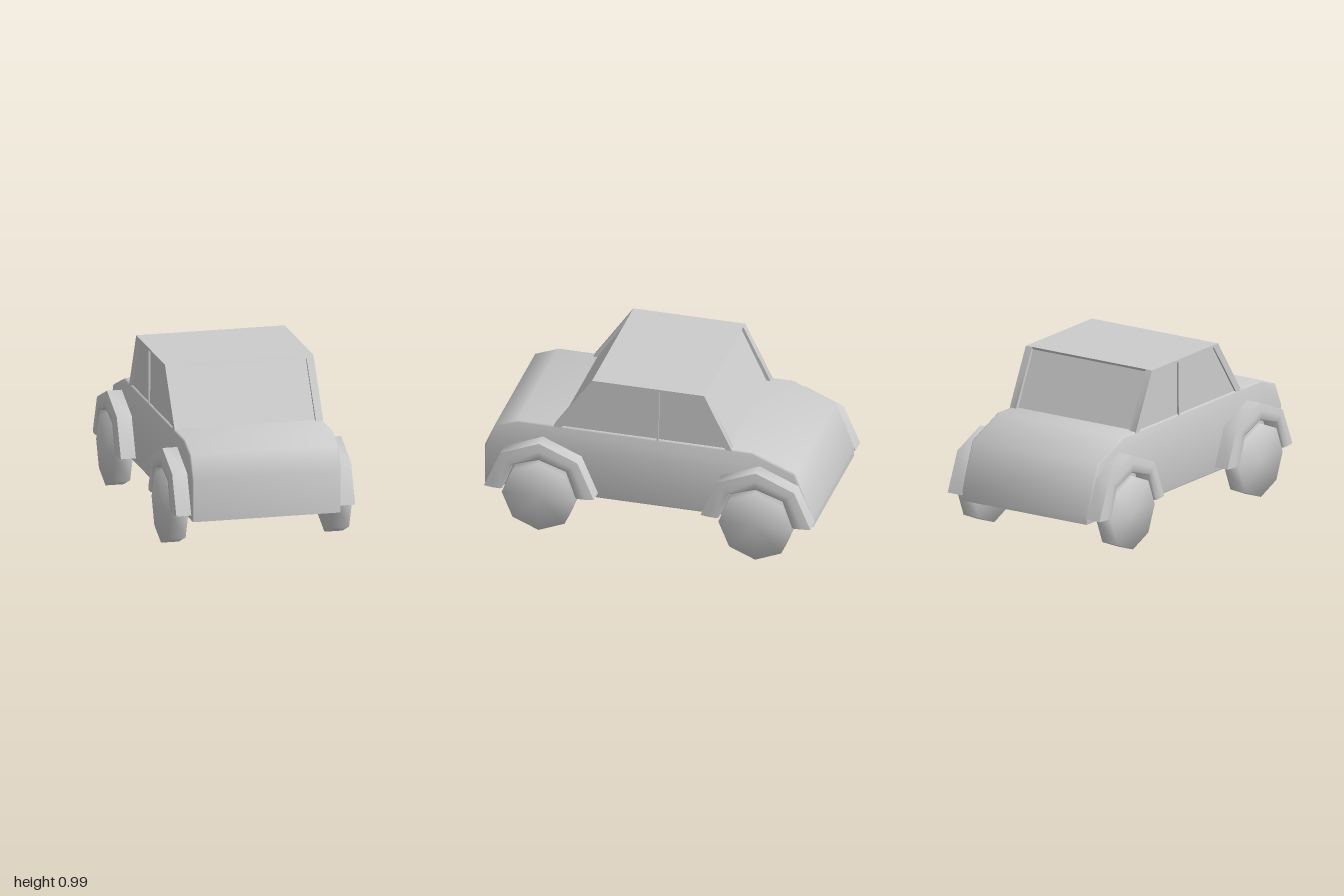
import * as THREE from 'three';
import { mergeVertices, toCreasedNormals } from 'three/addons/utils/BufferGeometryUtils.js';

const material = new THREE.MeshStandardMaterial({ color: 0xcccccc });

function addMesh(parent, name, geometry) {
  const mesh = new THREE.Mesh(geometry, material);
  mesh.name = name;
  parent.add(mesh);
  return mesh;
}

const toShape = (points) => new THREE.Shape(points.map(([z, y]) => new THREE.Vector2(z, y)));

// Extrudes a (z, y) side profile across the car, from x0 to x1.
function sideExtrude(points, x0, x1, { holes = [], bevel = 0, crease = 0.5 } = {}) {
  const shape = toShape(points);
  shape.holes = holes.map(toShape);
  const geometry = new THREE.ExtrudeGeometry(shape, {
    depth: x1 - x0 - 2 * bevel,
    bevelEnabled: bevel > 0,
    bevelSize: bevel,
    bevelThickness: bevel,
    bevelOffset: -bevel,
    bevelSegments: 2,
  });
  geometry.rotateY(-Math.PI / 2).translate(x1 - bevel, 0, 0);
  return toCreasedNormals(geometry, crease);
}

// Eight-sided wheel, shaded as one soft form.
function wheelGeometry() {
  const geometry = new THREE.CylinderGeometry(0.223, 0.223, 0.108, 8);
  geometry.rotateZ(Math.PI / 2).rotateX(Math.PI / 2);
  geometry.deleteAttribute('normal');
  geometry.deleteAttribute('uv');
  const welded = mergeVertices(geometry, 1e-4);
  welded.computeVertexNormals();
  return welded;
}

// Arched fender: a rounded section swept between an inner and an outer arch.
function fenderGeometry() {
  const outer = [[0.333, 0.245], [0.234, 0.475], [0, 0.572], [-0.234, 0.475], [-0.333, 0.245]];
  const inner = [[0.222, 0.245], [0.165, 0.41], [0, 0.465], [-0.165, 0.41], [-0.222, 0.245]];
  const section = [[0.44, 1], [0.538, 1], [0.548, 0.55], [0.55, 0.12], [0.54, 0], [0.44, 0]];
  const n = section.length;
  const positions = [];
  const index = [];
  outer.forEach(([zo, yo], i) => {
    const [zi, yi] = inner[i];
    section.forEach(([x, t]) => positions.push(x, yi + (yo - yi) * t, zi + (zo - zi) * t));
  });
  for (let i = 0; i < outer.length - 1; i++) {
    for (let j = 0; j < n; j++) {
      const a = i * n + j, b = i * n + ((j + 1) % n);
      index.push(a, b, a + n, b, b + n, a + n);
    }
  }
  // End caps
  const last = (outer.length - 1) * n;
  for (let j = 1; j < n - 1; j++) {
    index.push(0, j + 1, j, last, last + j, last + j + 1);
  }
  const geometry = new THREE.BufferGeometry();
  geometry.setAttribute('position', new THREE.Float32BufferAttribute(positions, 3));
  geometry.setIndex(index);
  return toCreasedNormals(geometry, 0.9);
}

export function createModel() {
  const car = new THREE.Group();
  car.name = 'car';

  // Lower body with rounded nose and sloping tail
  addMesh(car, 'body', sideExtrude([
    [-0.99, 0.21], [1, 0.21], [1, 0.46], [0.94, 0.6], [0.8, 0.655],
    [-0.62, 0.655], [-0.88, 0.55], [-0.99, 0.27],
  ], -0.448, 0.448, { bevel: 0.01, crease: 1.1 }));

  // Cabin: glass core, side frames with two windows each, and roof
  const cabin = new THREE.Group();
  cabin.name = 'cabin';
  car.add(cabin);
  addMesh(cabin, 'windowGlass', sideExtrude(
    [[-0.478, 0.64], [0.565, 0.64], [0.34, 0.976], [-0.318, 0.976]], -0.436, 0.436));

  const frameOutline = [
    [-0.495, 0.6], [0.58, 0.6], [0.58, 0.655], [0.348, 0.99], [-0.33, 0.99], [-0.495, 0.655],
  ];
  const windows = [
    [[-0.044, 0.64], [-0.036, 0.975], [0.305, 0.975], [0.54, 0.64]],
    [[-0.463, 0.64], [-0.292, 0.975], [-0.058, 0.975], [-0.054, 0.64]],
  ];
  addMesh(cabin, 'leftWindowFrame', sideExtrude(frameOutline, 0.403, 0.447, { holes: windows }));
  addMesh(cabin, 'rightWindowFrame', sideExtrude(frameOutline, -0.447, -0.403, { holes: windows }));
  addMesh(cabin, 'roof', sideExtrude(
    [[-0.322, 0.974], [0.358, 0.974], [0.348, 0.99], [-0.33, 0.99]], -0.404, 0.404));

  // Wheels and fenders at all four corners
  const wheel = wheelGeometry();
  const fender = fenderGeometry();
  for (const [end, z] of [['front', 0.645], ['rear', -0.667]]) {
    for (const [side, turn] of [['Left', 0], ['Right', Math.PI]]) {
      const corner = new THREE.Group();
      corner.name = `${end}${side}Corner`;
      corner.position.z = z;
      corner.rotation.y = turn;
      addMesh(corner, 'wheel', wheel).position.set(0.492, 0.223, 0);
      addMesh(corner, 'fender', fender);
      car.add(corner);
    }
  }
  return car;
}
